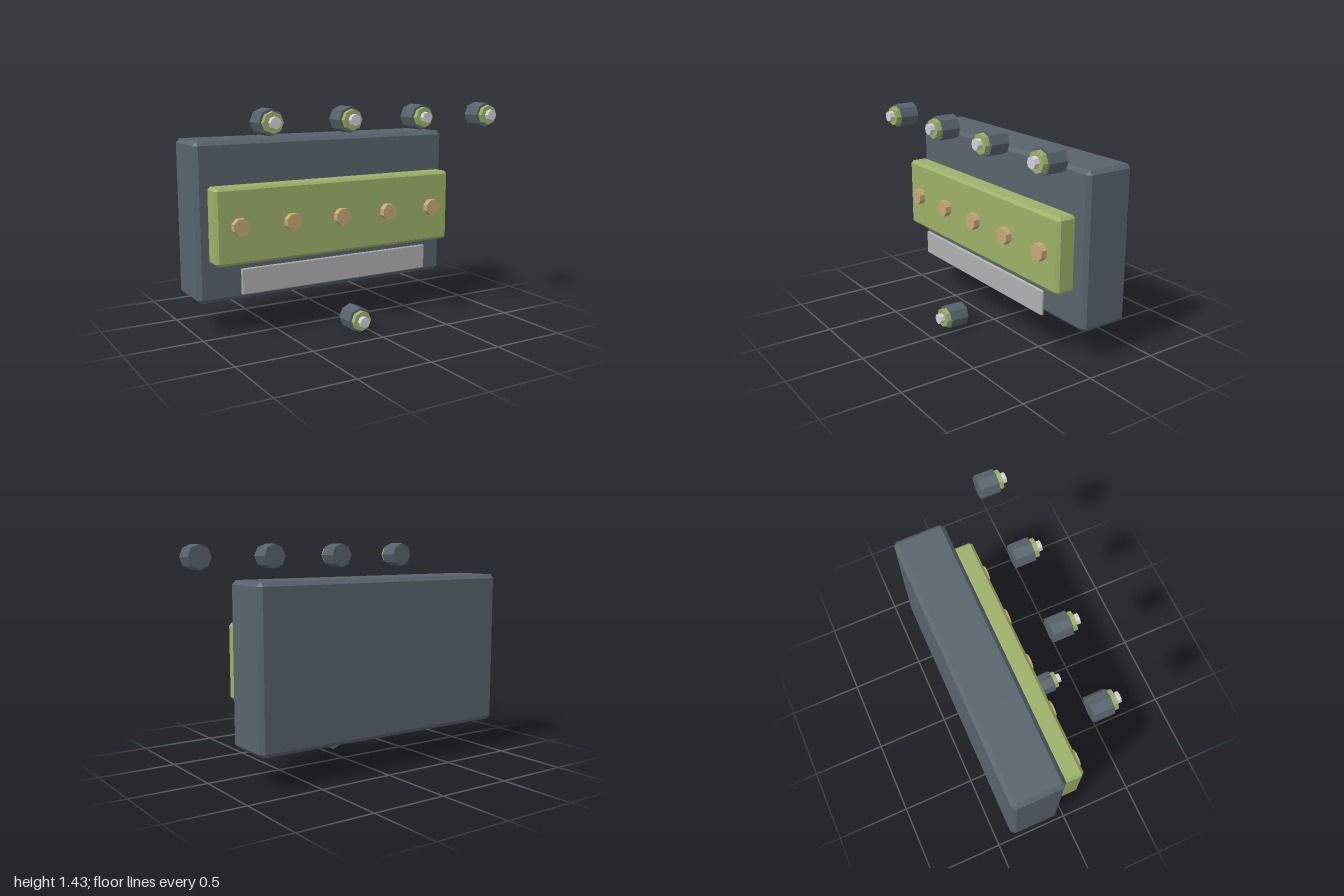
import * as THREE from 'three';
import { ConvexGeometry } from 'three/addons/geometries/ConvexGeometry.js';

const paint = (color) => new THREE.MeshStandardMaterial({ color, flatShading: true });
const slate = paint(0x59636c);
const green = paint(0x9db069);
const brass = paint(0xc4a876);
const silver = paint(0xcfd2d8);
const plateGrey = paint(0xb0b0b0);

// Box with every edge cut by a single bevel of width c
function bevelBox(w, h, d, c) {
  const points = [];
  for (const sx of [-1, 1]) for (const sy of [-1, 1]) for (const sz of [-1, 1]) {
    const x = w / 2, y = h / 2, z = d / 2;
    points.push(
      new THREE.Vector3(sx * x, sy * (y - c), sz * (z - c)),
      new THREE.Vector3(sx * (x - c), sy * y, sz * (z - c)),
      new THREE.Vector3(sx * (x - c), sy * (y - c), sz * z));
  }
  return new ConvexGeometry(points);
}

// Eight-sided cylinder along z, from z0 to z1
function octagon(r, z0, z1, turn = 0) {
  return new THREE.CylinderGeometry(r, r, z1 - z0, 8)
    .rotateY(turn).rotateX(Math.PI / 2).translate(0, 0, (z0 + z1) / 2);
}

function add(parent, name, geometry, material, x = 0, y = 0, z = 0) {
  const mesh = new THREE.Mesh(geometry, material);
  mesh.name = name;
  mesh.position.set(x, y, z);
  parent.add(mesh);
}

export function createModel() {
  const model = new THREE.Group();
  model.name = 'terminalBox';
  const cx = -0.073;

  // Housing, terminal block and blank label plate
  add(model, 'housing', bevelBox(1.855, 1.013, 0.345, 0.026), slate, cx, 0.7215, -0.2305);
  add(model, 'terminalBlock', bevelBox(1.73, 0.48, 0.136, 0.018), green, cx, 0.72, 0.034);
  add(model, 'labelPlate', bevelBox(1.38, 0.166, 0.02, 0.005), plateGrey, cx, 0.365, 0.066);

  // Row of terminal screws
  const screw = octagon(0.056, 0.102, 0.145, Math.PI / 8);
  for (let i = -2; i <= 2; i++) add(model, 'terminalScrew', screw, brass, cx + i * 0.356, 0.72);

  // Cable glands: four above, one below
  const body = octagon(0.08, 0.215, 0.34);
  const collar = octagon(0.064, 0.34, 0.372);
  const tip = octagon(0.035, 0.372, 0.405);
  const spots = [0, 1, 2, 3].map((i) => [-0.675 + i * 0.53, 1.357]);
  spots.push([cx, 0.083]);
  for (const [x, y] of spots) {
    const gland = new THREE.Group();
    gland.name = 'cableGland';
    gland.position.set(x, y, 0);
    add(gland, 'glandBody', body, slate);
    add(gland, 'glandCollar', collar, green);
    add(gland, 'glandTip', tip, silver);
    model.add(gland);
  }
  return model;
}
